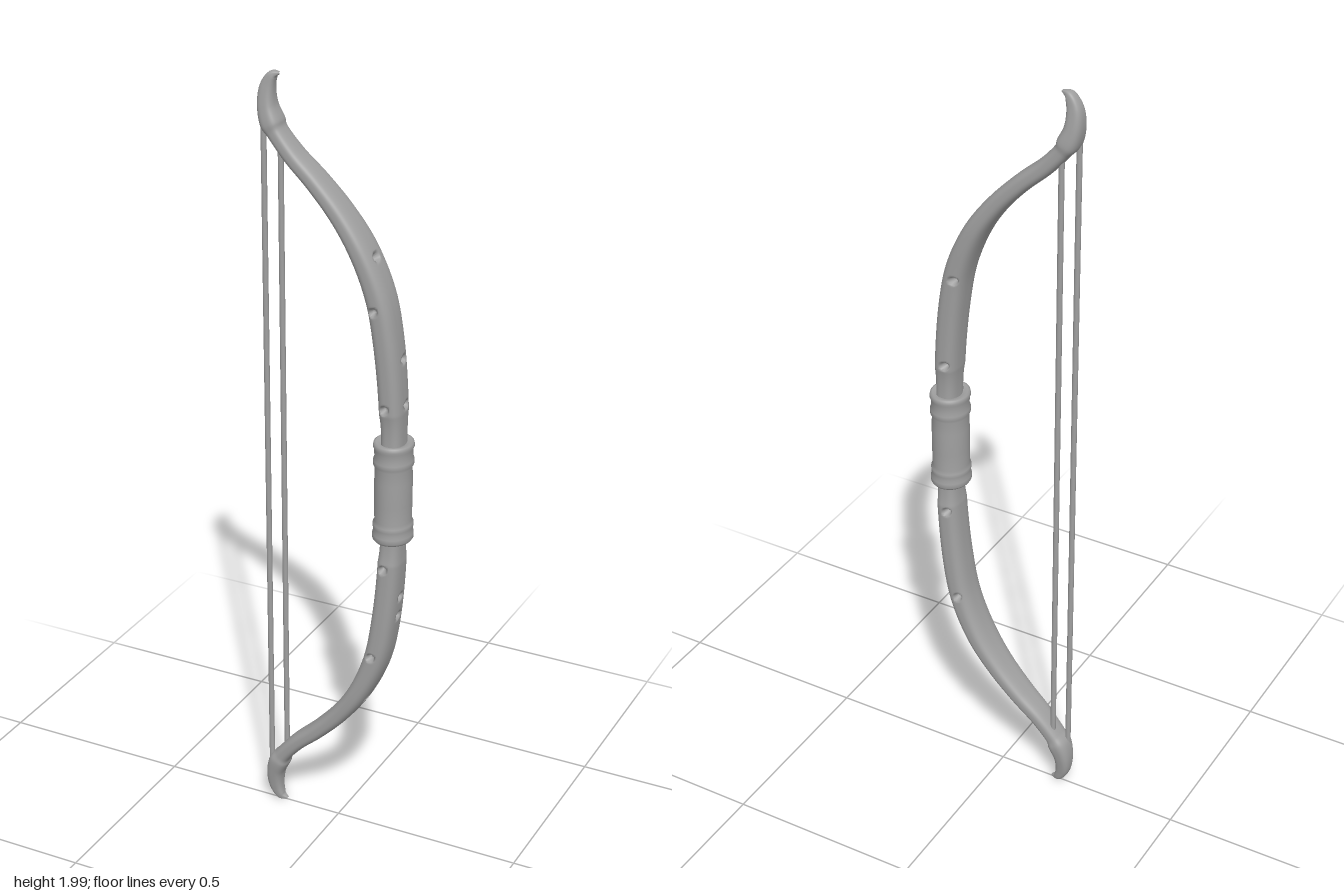
import * as THREE from 'three';

// Upper half, tip to middle: centre x, centre y, half thickness, half width (z)
const HALF = [
  [-0.150, 1.990, 0.002, 0.004],
  [-0.168, 1.984, 0.011, 0.013],
  [-0.182, 1.955, 0.018, 0.019],
  [-0.183, 1.910, 0.022, 0.027],
  [-0.170, 1.870, 0.026, 0.033],
  [-0.158, 1.850, 0.021, 0.031],
  [-0.115, 1.800, 0.021, 0.034],
  [-0.055, 1.745, 0.022, 0.038],
  [0.010, 1.675, 0.024, 0.042],
  [0.065, 1.595, 0.027, 0.046],
  [0.110, 1.490, 0.030, 0.046],
  [0.132, 1.380, 0.031, 0.045],
  [0.148, 1.200, 0.030, 0.043],
];
// Small bored holes: on both flat sides (x, y) and on the outer face (y, z)
const SIDE_HOLES = [[0.11, 1.46], [0.14, 1.215], [0.14, 0.785], [0.11, 0.53]];
const OUTER_HOLES = [[1.585, 0.005], [1.335, -0.01], [1.22, -0.01], [0.7, 0], [0.645, 0], [0.39, 0.01]];

const dent = (d) => 0.02 * (1 - THREE.MathUtils.smoothstep(d, 0.004, 0.013));

// Whole stave, lofted from bottom tip to top tip with rounded-box sections
function staveGeometry(rows = 560, cols = 60) {
  const lower = HALF.map(([x, y, a, b]) => [x, 2 - y, a, b]);
  const stations = [...lower, [0.15, 1, 0.03, 0.043], ...[...HALF].reverse()];
  const path = new THREE.CatmullRomCurve3(stations.map((s) => new THREE.Vector3(s[0], s[1], 0)));
  const size = new THREE.CatmullRomCurve3(stations.map((s) => new THREE.Vector3(s[2], s[3], 0)));
  path.arcLengthDivisions = 1000;
  const pos = [], index = [];
  for (let i = 0; i <= rows; i++) {
    const t = path.getUtoTmapping(i / rows);
    const c = path.getPoint(t), tan = path.getTangent(t), s = size.getPoint(t);
    for (let j = 0; j < cols; j++) {
      const q = (j / cols) * Math.PI * 2, co = Math.cos(q), si = Math.sin(q);
      const round = (v) => Math.sign(v) * Math.pow(Math.abs(v), 0.72);
      let n = s.x * round(co), z = s.y * round(si);
      const x = c.x + tan.y * n, y = c.y - tan.x * n;
      for (const [hx, hy] of SIDE_HOLES) {
        if (Math.abs(si) > 0.5) z -= Math.sign(si) * dent(Math.hypot(x - hx, y - hy));
      }
      for (const [hy, hz] of OUTER_HOLES) {
        if (co > 0.5) n -= dent(Math.hypot(y - hy, z - hz));
      }
      pos.push(c.x + tan.y * n, c.y - tan.x * n, z);
      if (i < rows) {
        const a = i * cols + j, b = i * cols + ((j + 1) % cols);
        index.push(a, a + cols, b, b, a + cols, b + cols);
      }
    }
  }
  const g = new THREE.BufferGeometry();
  g.setAttribute('position', new THREE.Float32BufferAttribute(pos, 3));
  g.setIndex(index);
  g.computeVertexNormals();
  return g;
}

export function createModel() {
  const group = new THREE.Group();
  const grey = new THREE.MeshStandardMaterial({ color: 0xa0a0a0 });
  grey.name = 'plain grey';

  const add = (name, geometry) => {
    const mesh = new THREE.Mesh(geometry, grey);
    mesh.name = name;
    group.add(mesh);
    return mesh;
  };

  add('stave', staveGeometry());

  // Wrapped grip with a rolled collar at each end
  const profile = [
    [0.030, 0.862], [0.046, 0.860], [0.050, 0.866], [0.050, 0.878], [0.047, 0.886],
    [0.049, 0.896], [0.049, 0.906], [0.045, 0.914], [0.046, 0.960], [0.046, 1.020],
    [0.045, 1.056], [0.049, 1.064], [0.049, 1.076], [0.046, 1.084], [0.047, 1.105],
    [0.050, 1.112], [0.048, 1.121], [0.043, 1.123], [0.030, 1.118],
  ].map(([r, y]) => new THREE.Vector2(r, y));
  const grip = add('grip', new THREE.LatheGeometry(profile, 48));
  grip.position.x = 0.149;
  grip.scale.z = 1.1;

  // Two strands of the bowstring
  for (const [name, x, z, end] of [['outerString', -0.19, 0.01, 0.1], ['innerString', -0.156, -0.01, 0.15]]) {
    const strand = add(name, new THREE.CylinderGeometry(0.007, 0.007, 2 - 2 * end, 12));
    strand.position.set(x, 1, z);
  }
  return group;
}
